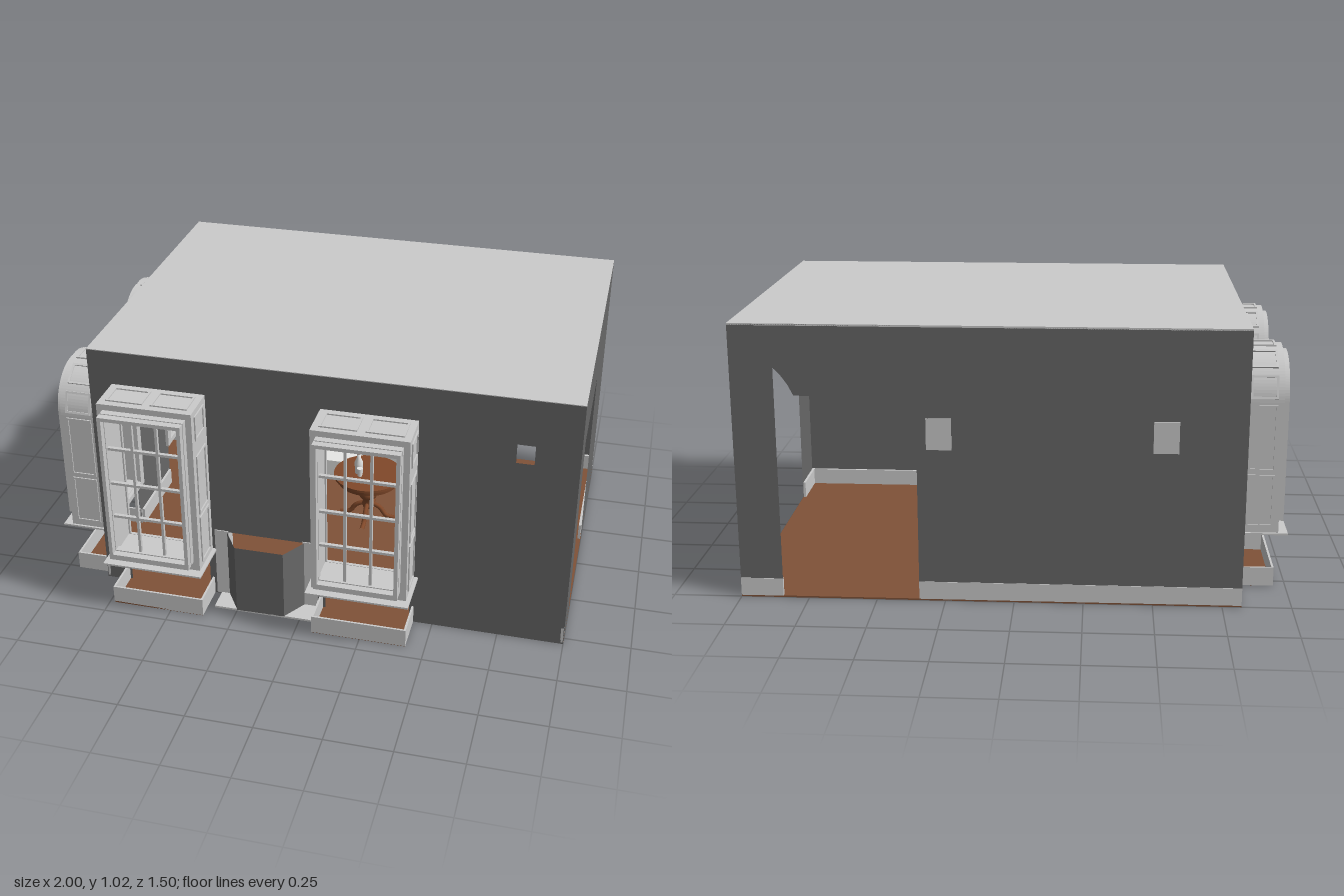
import * as THREE from 'three';

const mat = (name, color, side = THREE.FrontSide) => {
  const m = new THREE.MeshStandardMaterial({ color, side });
  m.name = name;
  return m;
};
const wallGrey = mat('wall grey', 0x686868, THREE.DoubleSide);
const trim = mat('trim light grey', 0xcccccc, THREE.DoubleSide);
const floorBrown = mat('floor brown', 0x805238);
const wood = mat('table wood', 0x81492a);
const white = mat('upholstery white', 0xf2f2f0);

function add(parent, name, geo, material, x = 0, y = 0, z = 0) {
  const m = new THREE.Mesh(geo, material);
  m.name = name;
  m.position.set(x, y, z);
  parent.add(m);
  return m;
}
// box given by its minimum and maximum corners
function box(parent, name, material, x0, x1, y0, y1, z0, z1) {
  return add(parent, name, new THREE.BoxGeometry(x1 - x0, y1 - y0, z1 - z0), material,
    (x0 + x1) / 2, (y0 + y1) / 2, (z0 + z1) / 2);
}
function rect(Type, x0, x1, y0, y1) {
  return new Type([[x0, y0], [x1, y0], [x1, y1], [x0, y1]].map(p => new THREE.Vector2(...p)));
}
// window outline, square or round headed
function outline(Type, c, half, y0, y1, arched) {
  if (!arched) return rect(Type, c - half, c + half, y0, y1);
  const s = new Type();
  s.moveTo(c - half, y0);
  s.lineTo(c + half, y0);
  s.absarc(c, y1 - half, half, 0, Math.PI, false);
  s.closePath();
  return s;
}
function ring(parent, name, outer, inner, arched, z, depth) {
  const s = outline(THREE.Shape, 0, ...outer, arched);
  s.holes.push(outline(THREE.Path, 0, ...inner, arched));
  const geo = new THREE.ExtrudeGeometry(s, { depth, bevelEnabled: false, curveSegments: 24 });
  return add(parent, name, geo, trim, 0, 0, z);
}
function wall(parent, name, x0, x1, holes) {
  const s = rect(THREE.Shape, x0, x1, 0, 1.02);
  s.holes.push(...holes);
  return add(parent, name, new THREE.ShapeGeometry(s, 24), wallGrey);
}
// raised moulding lying in the local xz plane, facing +y
function panel(parent, w, l, x, y, z, rotZ) {
  const g = new THREE.Group();
  g.name = 'panelMoulding';
  const t = 0.008, h = 0.006;
  for (const s of [-1, 1]) {
    add(g, 'mouldingLong', new THREE.BoxGeometry(t, h, l), trim, s * (w - t) / 2, 0, 0);
    add(g, 'mouldingShort', new THREE.BoxGeometry(w, h, t), trim, 0, 0, s * (l - t) / 2);
  }
  g.position.set(x, y, z);
  g.rotation.z = rotZ;
  parent.add(g);
}

// Bay window: local x along the wall, local z outward from it
function bay(name, arched) {
  const g = new THREE.Group();
  g.name = name;
  const d = arched ? 0.145 : 0.155;
  ring(g, 'bayShell', [0.18, 0.21, 0.888], [0.165, 0.222, 0.873], arched, 0, d - 0.01);
  ring(g, 'bayFrontFrame', [0.18, 0.21, 0.888], [0.15, 0.262, 0.858], arched, d - 0.01, 0.01);
  ring(g, 'innerCasing', [0.195, 0.2, 0.903], [0.16, 0.222, 0.868], arched, -0.015, 0.013);
  // sashes
  const layers = arched ? [[d, 0.02]] : [[d, 0.027], [d + 0.032, 0.027]];
  for (const [z, t] of layers)
    ring(g, 'sashFrame', [0.157, 0.25, 0.865], [0.143, 0.272, 0.851], arched, z, t);
  // glazing bars
  const zb = d + 0.004;
  for (const x of [-0.048, 0.048]) {
    const top = arched ? 0.708 + Math.sqrt(0.143 ** 2 - x * x) : 0.852;
    box(g, 'verticalBar', trim, x - 0.005, x + 0.005, 0.27, top, zb, zb + 0.014);
  }
  for (const y of [0.42, 0.565, 0.713])
    box(g, 'horizontalBar', trim, -0.145, 0.145, y - 0.005, y + 0.005, zb, zb + 0.014);
  // moulded panels on the cheeks and head
  const pl = 0.1, pz = d / 2;
  for (const s of [-1, 1]) {
    const rows = [[0.235, 0.435], [0.45, 0.7]];
    if (!arched) rows.push([0.765, 0.865]);
    for (const [a, b] of rows)
      panel(g, b - a, pl, s * 0.182, (a + b) / 2, pz, -s * Math.PI / 2);
  }
  if (arched) {
    for (let i = 0; i < 5; i++) {
      const a = Math.PI * (i + 0.5) / 5;
      panel(g, 0.085, pl, 0.18 * Math.cos(a), 0.708 + 0.18 * Math.sin(a), pz, a - Math.PI / 2);
    }
  } else {
    for (const s of [-1, 1]) panel(g, 0.14, pl, s * 0.085, 0.89, pz, 0);
  }
  // sill, low skirting and floor; open between skirting and sill
  const w = arched ? 0.188 : 0.195;
  box(g, 'sill', trim, -w, w, 0.204, 0.211, 0, arched ? 0.18 : 0.195);
  const k = arched ? 0.135 : 0.155;
  box(g, 'bayFloor', floorBrown, -0.18, 0.18, 0, 0.006, -0.01, k);
  for (const s of [-1, 1]) {
    const side = box(g, 'baySkirtingSide', trim, -0.004, 0.004, 0.001, 0.073, 0, k);
    side.position.x = s * 0.178;
  }
  box(g, 'baySkirtingFront', trim, -0.182, 0.182, 0.001, 0.073, k - 0.008, k);
  return g;
}

function makeTable() {
  const g = new THREE.Group();
  g.name = 'table';
  add(g, 'tableTop', new THREE.CylinderGeometry(0.145, 0.145, 0.01, 40), wood, 0, 0.22, 0);
  add(g, 'tableApron', new THREE.CylinderGeometry(0.132, 0.128, 0.025, 40), wood, 0, 0.203, 0);
  const prof = [[0, 0.055], [0.02, 0.055], [0.026, 0.08], [0.018, 0.092], [0.036, 0.112], [0.04, 0.13],
    [0.034, 0.15], [0.017, 0.165], [0.03, 0.178], [0.034, 0.195]].map(p => new THREE.Vector2(...p));
  add(g, 'pedestal', new THREE.LatheGeometry(prof, 24), wood);
  const path = new THREE.CatmullRomCurve3([[0.01, 0.08], [0.05, 0.062], [0.08, 0.025], [0.12, 0.016]]
    .map(([r, y]) => new THREE.Vector3(0, y, r)));
  for (let i = 0; i < 4; i++)
    add(g, 'tableLeg', new THREE.TubeGeometry(path, 14, 0.01, 8), wood).rotation.y = i * Math.PI / 2;
  // bottle and cups
  const bottle = [[0, 0], [0.017, 0], [0.018, 0.05], [0.009, 0.072], [0.008, 0.09], [0, 0.09]]
    .map(p => new THREE.Vector2(...p));
  add(g, 'bottle', new THREE.LatheGeometry(bottle, 16), white, -0.04, 0.225, 0.005);
  add(g, 'bottleStopper', new THREE.CylinderGeometry(0.008, 0.007, 0.03, 12), wood, -0.04, 0.329, 0.005);
  for (const [x, z] of [[-0.03, 0.03], [-0.05, -0.02]])
    add(g, 'cup', new THREE.CylinderGeometry(0.013, 0.01, 0.036, 14), white, x, 0.243, z);
  g.position.set(0.1, 0, -0.125);
  return g;
}

function makeSofa() {
  const g = new THREE.Group();
  g.name = 'sofa';
  box(g, 'sofaBase', white, -0.33, 0.33, 0.03, 0.09, -0.12, 0.12);
  for (const x of [-0.14, 0.14])
    box(g, 'seatCushion', white, x - 0.136, x + 0.136, 0.092, 0.13, -0.08, 0.125);
  box(g, 'sofaBack', white, -0.33, 0.33, 0.09, 0.235, -0.13, -0.07).rotation.x = -0.12;
  for (const s of [-1, 1]) {
    box(g, 'sofaArm', white, s * 0.31 - 0.03, s * 0.31 + 0.03, 0.03, 0.165, -0.12, 0.12);
    add(g, 'armRoll', new THREE.CylinderGeometry(0.035, 0.035, 0.245, 20), white, s * 0.31, 0.165, 0)
      .rotation.x = Math.PI / 2;
    for (const z of [-0.1, 0.1]) box(g, 'sofaFoot', wood, s * 0.3 - 0.012, s * 0.3 + 0.012, 0.005, 0.03, z - 0.012, z + 0.012);
  }
  g.position.set(-0.155, 0, -0.46);
  return g;
}

export function createModel() {
  const room = new THREE.Group();
  room.name = 'room';
  const X0 = -0.82, X1 = 1, Z0 = -0.75, Z1 = 0.535, H = 1.02;
  const frontBays = [-0.55, 0.245], sideBays = [-0.365, 0.325];
  const hole = (...a) => rect(THREE.Path, ...a);

  box(room, 'floor', floorBrown, X0, X1, 0, 0.006, Z0, Z1);
  box(room, 'ceiling', trim, X0, X1, H - 0.004, H + 0.003, Z0, Z1);

  // walls with their openings
  wall(room, 'frontWall', X0, X1, [
    ...frontBays.map(c => hole(c - 0.165, c + 0.165, 0.002, 0.873)),
    hole(-0.31, 0, 0.002, 0.295), hole(0.775, 0.84, 0.765, 0.84)]).position.z = Z1;
  const doorway = new THREE.Path([[0.345, 0.002], [0.845, 0.002], [0.845, 0.865], [0.82, 0.84],
    [0.795, 0.805], [0.775, 0.765], [0.345, 0.765]].map(p => new THREE.Vector2(...p)));
  wall(room, 'backWall', X0, X1, [doorway]).position.z = Z0;
  const left = wall(room, 'leftWall', Z0, Z1,
    sideBays.map(c => outline(THREE.Path, c, 0.165, 0.002, 0.873, true)));
  left.rotation.y = -Math.PI / 2;
  left.position.x = X0;
  const right = wall(room, 'rightWall', Z0, Z1, [hole(-0.17, 0.33, 0.002, 0.768)]);
  right.rotation.y = -Math.PI / 2;
  right.position.x = X1;

  // bay windows
  for (const c of frontBays) {
    const b = bay('frontBayWindow', false);
    b.position.set(c, 0, Z1);
    room.add(b);
  }
  for (const c of sideBays) {
    const b = bay('archedBayWindow', true);
    b.rotation.y = -Math.PI / 2;
    b.position.set(X0, 0, c);
    room.add(b);
  }

  // skirting boards and cornice
  const sk = 0.073, t = 0.012;
  for (const [a, b] of [[X0, 0.345], [0.845, X1]]) box(room, 'backSkirting', trim, a, b, 0.006, sk, Z0 - 0.002, Z0 + t);
  for (const [a, b] of [[X0, -0.73], [-0.37, -0.33], [0.02, 0.065], [0.425, X1]])
    box(room, 'frontSkirting', trim, a, b, 0.006, sk, Z1 - t, Z1 - 0.002);
  for (const [a, b] of [[Z0, -0.545], [-0.185, 0.145], [0.505, Z1]])
    box(room, 'leftSkirting', trim, X0 + 0.002, X0 + t, 0.006, sk, a, b);
  for (const [a, b] of [[Z0, -0.17], [0.33, Z1]]) box(room, 'rightSkirting', trim, X1 - t, X1 - 0.002, 0.006, sk, a, b);
  for (const [w, y] of [[0.045, 0.99], [0.025, 0.96]]) {
    for (const [a, b] of [[Z0 + 0.002, Z0 + w], [Z1 - w, Z1 - 0.002]])
      box(room, 'cornice', trim, X0 + 0.002, X1 - 0.002, y, y + 0.026, a, b);
    for (const [a, b] of [[X0 + 0.002, X0 + w], [X1 - w, X1 - 0.002]])
      box(room, 'cornice', trim, a, b, y, y + 0.026, Z0 + 0.002, Z1 - 0.002);
  }

  // wall plates set through the back wall
  for (const x of [-0.535, 0.265]) box(room, 'wallPlate', trim, x - 0.045, x + 0.045, 0.575, 0.69, Z0 - 0.006, Z0 + 0.012);

  // splayed firebox, open at the top, with hearth and mantel inside
  const pts = [[-0.31, Z1], [-0.25, 0.63], [-0.06, 0.63], [0, Z1]];
  for (let i = 0; i < 3; i++) {
    const [a, b] = [pts[i], pts[i + 1]];
    const p = add(room, 'fireboxSide', new THREE.PlaneGeometry(Math.hypot(b[0] - a[0], b[1] - a[1]), 0.295),
      wallGrey, (a[0] + b[0]) / 2, 0.1475, (a[1] + b[1]) / 2);
    p.rotation.y = -Math.atan2(b[1] - a[1], b[0] - a[0]);
  }
  box(room, 'hearth', trim, -0.34, 0.045, 0, 0.008, 0.42, 0.63);
  for (const x of [-0.33, 0.02]) box(room, 'mantelJamb', trim, x - 0.028, x + 0.028, 0.006, 0.3, 0.49, Z1 + 0.004);
  box(room, 'mantelFrieze', trim, -0.358, 0.048, 0.296, 0.35, 0.49, Z1 - 0.002);
  box(room, 'mantelShelf', trim, -0.375, 0.065, 0.35, 0.365, 0.46, Z1 - 0.002);

  room.add(makeTable(), makeSofa());
  return room;
}
